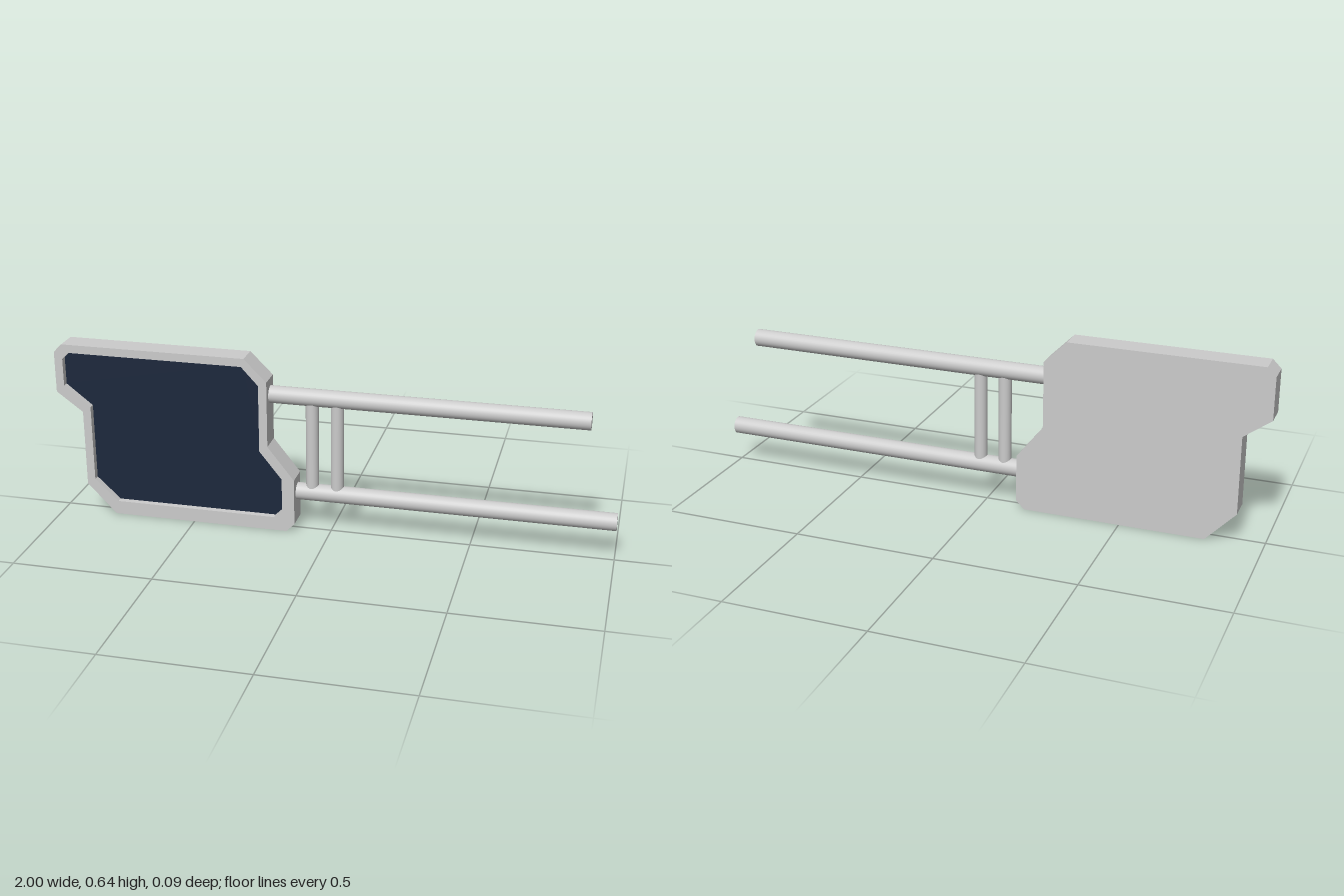
import * as THREE from 'three';

const HALF = 0.043;       // half thickness of the panel
const SCREEN_Z = 0.02;    // depth of the recessed screen
const TUBE_Z = -0.009;

const grey = new THREE.MeshStandardMaterial({ color: 0xcccccc });
const navy = new THREE.MeshStandardMaterial({ color: 0x1c283c });

const outer = [
  [-1, 0.46], [-0.905, 0.39], [-0.905, 0.11], [-0.8, 0], [-0.155, 0], [-0.125, 0.03],
  [-0.125, 0.2], [-0.22, 0.32], [-0.22, 0.56], [-0.3, 0.64], [-0.97, 0.64], [-1, 0.61],
].map(p => new THREE.Vector2(...p));

const inner = [
  [-0.97, 0.485], [-0.875, 0.41], [-0.875, 0.13], [-0.79, 0.05], [-0.2, 0.05], [-0.17, 0.08],
  [-0.17, 0.2], [-0.25, 0.3], [-0.25, 0.545], [-0.31, 0.61], [-0.945, 0.61], [-0.97, 0.585],
].map(p => new THREE.Vector2(...p));

// Flat-sided plate between two depths
function plate(name, shape, z0, z1) {
  const geo = new THREE.ExtrudeGeometry(shape, { depth: z1 - z0, bevelEnabled: false });
  const mesh = new THREE.Mesh(geo.translate(0, 0, z0), grey);
  mesh.name = name;
  return mesh;
}

// Round bar centred at (x, y), lying along x or standing along y
function bar(name, radius, length, x, y, alongX) {
  const geo = new THREE.CylinderGeometry(radius, radius, length, 32);
  if (alongX) geo.rotateZ(-Math.PI / 2);
  const mesh = new THREE.Mesh(geo, grey);
  mesh.name = name;
  mesh.position.set(x, y, TUBE_Z);
  return mesh;
}

export function createModel() {
  const model = new THREE.Group();
  model.name = 'panelWithRails';

  // Backing plate and the raised rim around the screen
  const rim = new THREE.Shape(outer);
  rim.holes.push(new THREE.Path(inner));
  model.add(plate('backPlate', new THREE.Shape(outer), -HALF, SCREEN_Z - 0.002));
  model.add(plate('rim', rim, SCREEN_Z - 0.002, HALF));

  // Dark recessed screen
  const screen = new THREE.Mesh(new THREE.ShapeGeometry(new THREE.Shape(inner)), navy);
  screen.name = 'screen';
  screen.position.z = SCREEN_Z;
  model.add(screen);

  // Two long rails out of the panel's side: [name, start x, end x, y]
  for (const [name, x0, x1, y] of [['upperRail', -0.225, 0.89, 0.5], ['lowerRail', -0.13, 1, 0.14]]) {
    model.add(bar(name, 0.031, x1 - x0, (x0 + x1) / 2, y, true));
  }

  // Two rungs joining the rails
  [-0.07, 0.02].forEach((x, i) => model.add(bar('rung' + (i + 1), 0.023, 0.34, x, 0.32, false)));

  return model;
}
